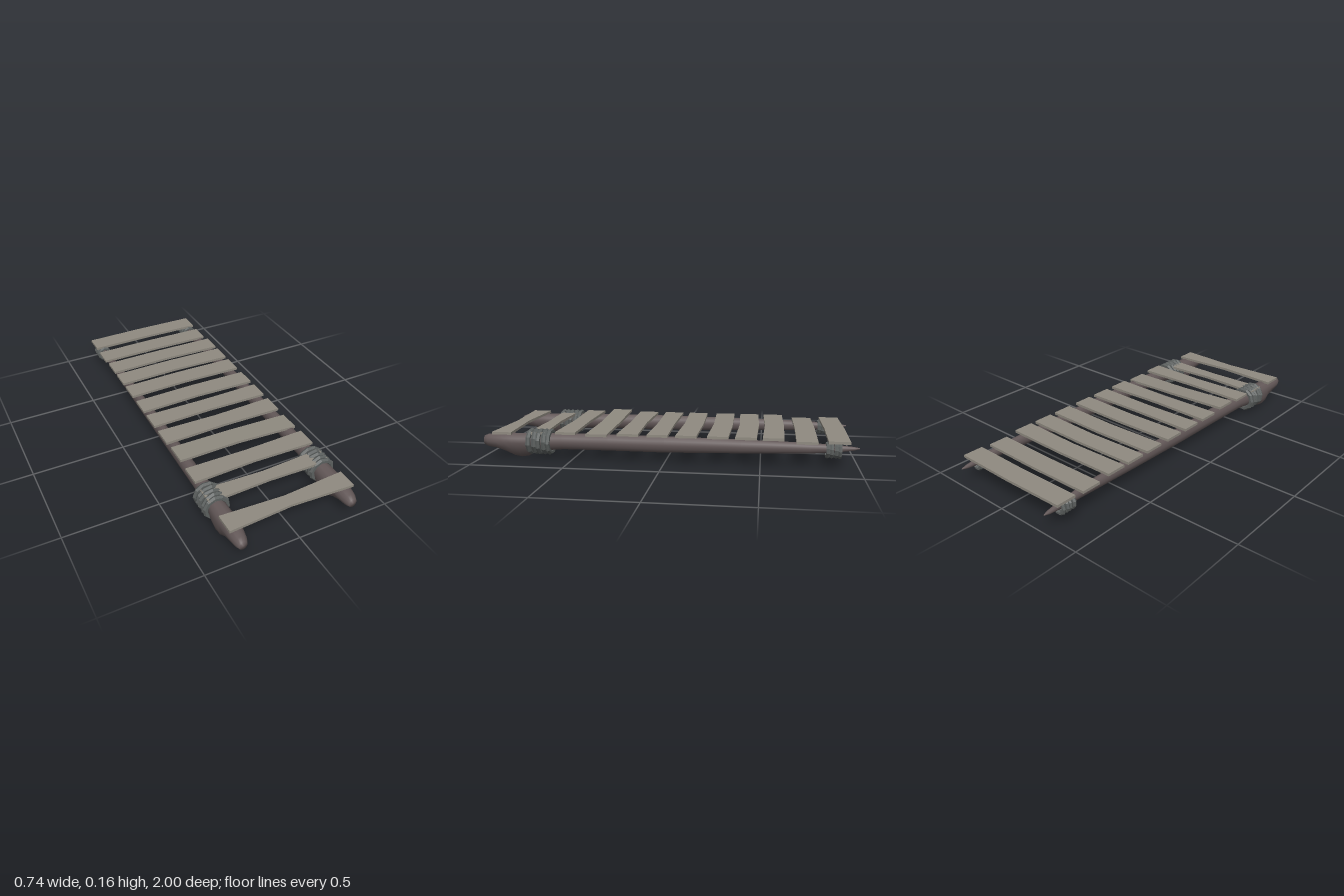
import * as THREE from 'three';

const wood = new THREE.MeshStandardMaterial({ color: 0x8f8a80, flatShading: true });
const bone = new THREE.MeshStandardMaterial({ color: 0x635858, side: THREE.DoubleSide });
const rope = new THREE.MeshStandardMaterial({ color: 0x5c605f, flatShading: true });

// Rail cross-sections from front to back: z, centre x, centre y, half width, half height
const SECTIONS = [
  [1.0, -0.005, 0.09, 0.002, 0.002],
  [0.995, -0.005, 0.09, 0.022, 0.025],
  [0.97, -0.003, 0.09, 0.033, 0.035],
  [0.92, 0, 0.09, 0.042, 0.041],
  [0.87, 0.003, 0.089, 0.046, 0.045],
  [0.83, 0.003, 0.088, 0.047, 0.047],
  [0.79, 0.003, 0.088, 0.047, 0.047],
  [0.75, 0.003, 0.089, 0.046, 0.047],
  [0.7, 0.004, 0.092, 0.044, 0.046],
  [0.55, 0.005, 0.097, 0.038, 0.044],
  [0.3, 0.006, 0.098, 0.035, 0.044],
  [0, 0.007, 0.097, 0.031, 0.044],
  [-0.4, 0.007, 0.099, 0.027, 0.037],
  [-0.75, 0.006, 0.101, 0.021, 0.028],
  [-0.9, 0.0, 0.101, 0.016, 0.018],
  [-0.97, -0.005, 0.102, 0.011, 0.01],
  [-1.0, -0.007, 0.103, 0.003, 0.003],
];

// Tapered rail with a knuckle swelling downward near its thick end
function railGeometry(sides = 12) {
  const pos = [], index = [];
  SECTIONS.forEach(([z, cx, cy, rx, ry], i) => {
    const bump = Math.max(0, 1 - ((z - 0.79) / 0.1) ** 2);
    for (let j = 0; j < sides; j++) {
      const a = (j / sides) * Math.PI * 2;
      const low = Math.max(0, -Math.sin(a)) ** 1.5 * bump;
      pos.push(cx + rx * Math.cos(a) - 0.018 * low, cy + ry * Math.sin(a) - 0.041 * low, z);
      if (i === SECTIONS.length - 1) continue;
      const p = i * sides + j, q = i * sides + (j + 1) % sides;
      index.push(p, p + sides, q, q, p + sides, q + sides);
    }
  });
  const g = new THREE.BufferGeometry();
  g.setAttribute('position', new THREE.Float32BufferAttribute(pos, 3));
  g.setIndex(index);
  g.computeVertexNormals();
  return g;
}

// Planks: z of back edge and front edge at the ends, then at the middle, top height, tilt
const PLANKS = [
  [-0.95, -0.84, -0.955, -0.845, 0.145, 0],
  [-0.79, -0.68, -0.795, -0.685, 0.139, 0],
  [-0.62, -0.51, -0.625, -0.52, 0.153, 0],
  [-0.48, -0.37, -0.487, -0.38, 0.153, 0],
  [-0.335, -0.225, -0.342, -0.235, 0.153, 0],
  [-0.17, -0.06, -0.177, -0.07, 0.153, 0],
  [-0.02, 0.09, -0.015, 0.082, 0.153, 0],
  [0.137, 0.25, 0.147, 0.242, 0.153, 0],
  [0.305, 0.42, 0.3, 0.408, 0.155, -0.026],
  [0.475, 0.585, 0.482, 0.574, 0.153, 0],
  [0.64, 0.735, 0.656, 0.724, 0.147, 0],
  [0.83, 0.937, 0.85, 0.918, 0.144, 0],
];

function plank([back, front, midBack, midFront, top, tilt]) {
  const thick = 0.014;
  const g = new THREE.BoxGeometry(0.68, thick, 1, 2, 1, 1);
  const p = g.attributes.position;
  for (let i = 0; i < p.count; i++) {
    const mid = Math.abs(p.getX(i)) < 0.01;
    p.setZ(i, p.getZ(i) > 0 ? (mid ? midFront : front) : (mid ? midBack : back));
  }
  g.computeVertexNormals();
  const m = new THREE.Mesh(g, wood);
  m.name = 'plank';
  m.position.set(-0.003, top - thick / 2, 0);
  m.rotation.z = tilt;
  return m;
}

// A row of rope rings wound around a rail
function lashing(name, count, radius, tube, x, y, zStart, zEnd) {
  const group = new THREE.Group();
  group.name = name;
  const g = new THREE.TorusGeometry(radius, tube, 6, 10);
  for (let i = 0; i < count; i++) {
    const ring = new THREE.Mesh(g, rope);
    ring.name = 'ropeRing';
    ring.position.set(x, y, THREE.MathUtils.lerp(zStart, zEnd, i / (count - 1)));
    ring.rotation.set(0, i % 2 ? 0.05 : -0.05, i * 0.12);
    group.add(ring);
  }
  return group;
}

export function createModel() {
  const model = new THREE.Group();
  model.name = 'plankBridge';

  // Two identical rails with their lashings
  const geometry = railGeometry();
  for (const [side, x] of [['left', 0.3], ['right', -0.3]]) {
    const rail = new THREE.Mesh(geometry, bone);
    rail.name = side + 'Rail';
    rail.position.x = x;
    model.add(rail);
    model.add(lashing(side + 'FrontLashing', 5, 0.058, 0.014, x, 0.092, 0.622, 0.728));
    model.add(lashing(side + 'BackLashing', 4, 0.034, 0.011, x + 0.003, 0.094, -0.9, -0.838));
  }

  // Cross planks
  const deck = new THREE.Group();
  deck.name = 'deck';
  for (const p of PLANKS) deck.add(plank(p));
  model.add(deck);
  return model;
}
